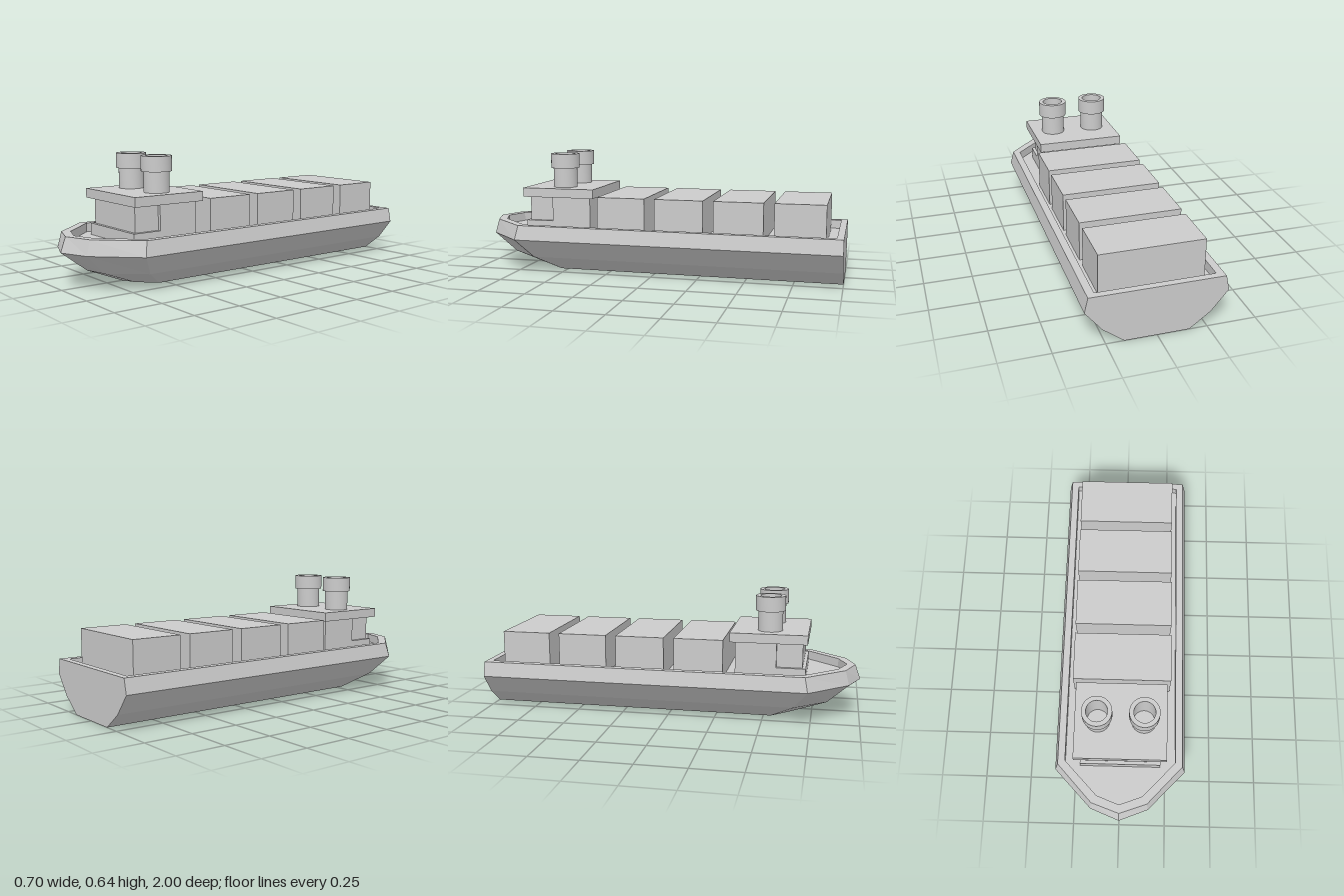
import * as THREE from 'three';
import { toCreasedNormals } from 'three/addons/utils/BufferGeometryUtils.js';

const grey = new THREE.MeshStandardMaterial({ color: 0xcccccc });
const flatGrey = new THREE.MeshStandardMaterial({ color: 0xcccccc, flatShading: true });

// Box given by its half width and its y and z ranges
function box(name, halfX, y0, y1, z0, z1) {
  const mesh = new THREE.Mesh(new THREE.BoxGeometry(halfX * 2, y1 - y0, z1 - z0), grey);
  mesh.position.set(0, (y0 + y1) / 2, (z0 + z1) / 2);
  mesh.name = name;
  return mesh;
}

// Horizontal hull outline: stern, side, shoulder, bow tip, then mirrored
function outline(y, sternZ, sideX, sideZ, shoulderX, shoulderZ, tipZ) {
  const half = [[sideX, sternZ], [sideX, sideZ], [shoulderX, shoulderZ]];
  const mirrored = half.map(([x, z]) => [-x, z]).reverse();
  return [...half, [0, tipZ], ...mirrored].map(([x, z]) => [x, y, z]);
}

// Skin joining successive outlines, capped at both ends
function loft(rings) {
  const n = rings[0].length;
  const positions = [];
  const tri = (a, b, c) => positions.push(...a, ...b, ...c);
  for (let r = 0; r < rings.length - 1; r++) {
    const lower = rings[r], upper = rings[r + 1];
    for (let i = 0; i < n; i++) {
      const j = (i + 1) % n;
      tri(lower[i], upper[i], upper[j]);
      tri(lower[i], upper[j], lower[j]);
    }
  }
  const first = rings[0], last = rings[rings.length - 1];
  for (let i = 1; i < n - 1; i++) {
    tri(first[0], first[i], first[i + 1]);
    tri(last[0], last[i + 1], last[i]);
  }
  const geometry = new THREE.BufferGeometry();
  geometry.setAttribute('position', new THREE.Float32BufferAttribute(positions, 3));
  geometry.computeVertexNormals();
  return geometry;
}

export function createModel() {
  const ship = new THREE.Group();
  ship.name = 'cargoShip';
  const deckY = 0.215, roofY = 0.457;

  // Hull with raised rim and sunken deck
  const hull = new THREE.Mesh(loft([
    outline(0, -1, 0.16, 0.54, 0.07, 0.63, 0.66),
    outline(0.08, -1, 0.265, 0.66, 0.12, 0.83, 0.86),
    outline(0.185, -1, 0.35, 0.735, 0.153, 0.94, 1),
    outline(0.262, -1, 0.333, 0.72, 0.147, 0.92, 0.972),
    outline(0.262, -0.965, 0.295, 0.7, 0.12, 0.882, 0.927),
    outline(deckY, -0.965, 0.295, 0.7, 0.12, 0.882, 0.927),
  ]), flatGrey);
  hull.name = 'hull';
  ship.add(hull);

  // Cargo containers
  for (let i = 0; i < 4; i++) {
    const z = 0.162 - i * 0.3145;
    ship.add(box(`container${i + 1}`, 0.262, deckY, 0.42, z - 0.13, z + 0.13));
  }

  // Bridge: rear block, front sill, recessed front and overhanging roof
  const bridge = new THREE.Group();
  bridge.name = 'bridge';
  bridge.add(
    box('bridgeRear', 0.214, deckY, 0.408, 0.35, 0.565),
    box('bridgeSill', 0.214, deckY, 0.276, 0.565, 0.717),
    box('bridgeFront', 0.196, 0.276, 0.408, 0.565, 0.7),
    box('bridgeRoof', 0.241, 0.408, roofY, 0.323, 0.725),
  );
  ship.add(bridge);

  // Pair of hollow funnels with collars
  const profile = [
    [0.065, roofY], [0.065, 0.563], [0.078, 0.563], [0.078, 0.641],
    [0.055, 0.641], [0.055, roofY + 0.001], [0, roofY + 0.001],
  ].map(([r, y]) => new THREE.Vector2(r, y));
  const funnelGeometry = toCreasedNormals(new THREE.LatheGeometry(profile, 32), 0.6);
  for (const side of [-1, 1]) {
    const funnel = new THREE.Mesh(funnelGeometry, grey);
    funnel.name = side > 0 ? 'funnelLeft' : 'funnelRight';
    funnel.position.set(side * 0.12, 0, 0.523);
    ship.add(funnel);
  }
  return ship;
}
